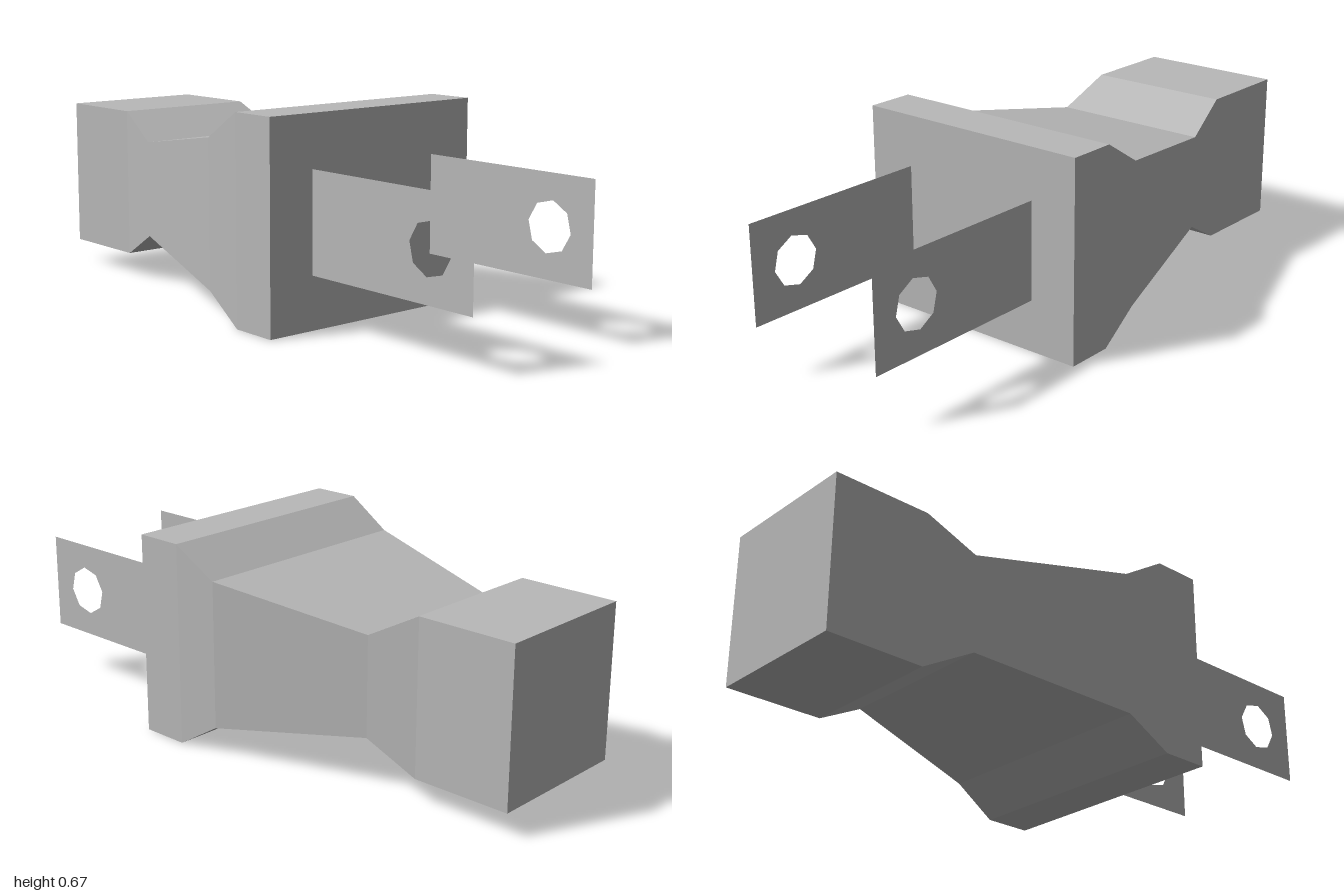
import * as THREE from 'three';

const MID_Y = 0.335;

export function createModel() {
  const model = new THREE.Group();
  model.name = 'plug';

  const grey = new THREE.MeshStandardMaterial({ color: 0xb8b8b8, side: THREE.DoubleSide });
  grey.name = 'grey';

  // Body: a segmented box whose rings are moved to [x, half height, half depth]
  const rings = [
    [-1, 0.253, 0.25],
    [-0.667, 0.253, 0.25],
    [-0.5, 0.163, 0.277],
    [0.02, 0.243, 0.405],
    [0.17, 0.335, 0.415],
    [0.333, 0.335, 0.415],
  ];
  const segments = rings.length - 1;
  const box = new THREE.BoxGeometry(segments, 2, 2, segments, 1, 1);
  const pos = box.attributes.position;
  for (let i = 0; i < pos.count; i++) {
    const [x, h, d] = rings[Math.round(pos.getX(i) + segments / 2)];
    pos.setXYZ(i, x, MID_Y + Math.sign(pos.getY(i)) * h, Math.sign(pos.getZ(i)) * d);
  }
  const bodyGeometry = box.toNonIndexed();
  bodyGeometry.computeVertexNormals();
  const body = new THREE.Mesh(bodyGeometry, grey);
  body.name = 'body';
  model.add(body);

  // Prongs: flat sheets with an eight-sided hole
  const outline = new THREE.Shape([
    new THREE.Vector2(0.333, 0.173),
    new THREE.Vector2(1, 0.173),
    new THREE.Vector2(1, 0.5),
    new THREE.Vector2(0.333, 0.5),
  ]);
  const hole = [];
  for (let i = 0; i < 8; i++) {
    const a = -0.14 - (i * Math.PI) / 4;
    hole.push(new THREE.Vector2(0.833 + 0.083 * Math.cos(a), MID_Y + 0.083 * Math.sin(a)));
  }
  outline.holes.push(new THREE.Path(hole));
  const prongGeometry = new THREE.ShapeGeometry(outline);
  for (const [name, z] of [['frontProng', 0.25], ['backProng', -0.25]]) {
    const prong = new THREE.Mesh(prongGeometry, grey);
    prong.name = name;
    prong.position.z = z;
    model.add(prong);
  }

  return model;
}
